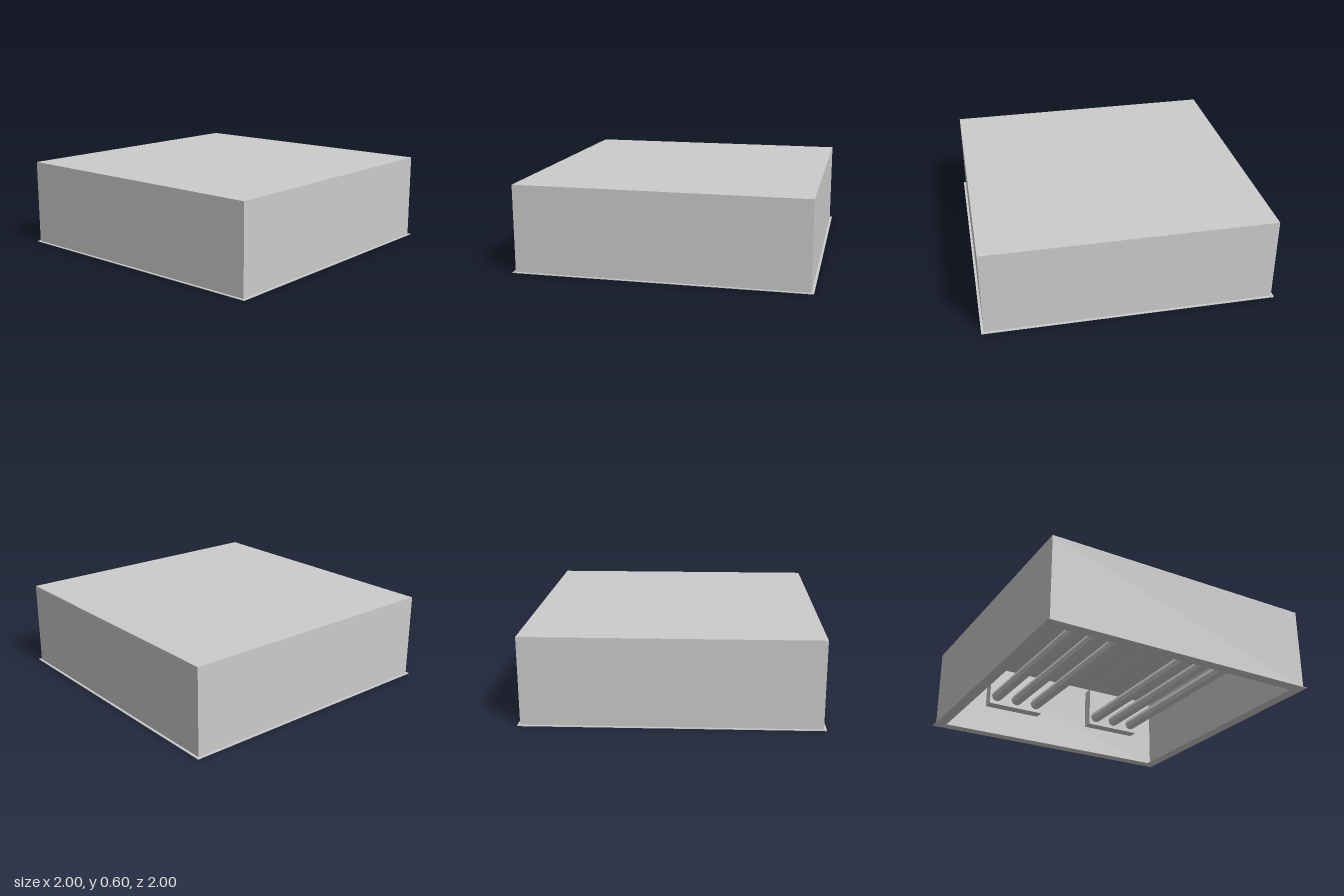
import * as THREE from 'three';

const material = new THREE.MeshStandardMaterial({ color: 0xcccccc });
const facetedMaterial = new THREE.MeshStandardMaterial({ color: 0xcccccc, flatShading: true });

function add(parent, name, geometry, x = 0, y = 0, z = 0, mat = material) {
  const mesh = new THREE.Mesh(geometry, mat);
  mesh.name = name;
  mesh.position.set(x, y, z);
  parent.add(mesh);
}

// Square ring of given outer and inner half sizes, standing on y = 0
function squareRing(outer, inner, height) {
  const square = (Type, r) => new Type([[-r, -r], [r, -r], [r, r], [-r, r]].map(([x, y]) => new THREE.Vector2(x, y)));
  const shape = square(THREE.Shape, outer);
  shape.holes.push(square(THREE.Path, inner));
  const geometry = new THREE.ExtrudeGeometry(shape, { depth: height, bevelEnabled: false });
  return geometry.rotateX(-Math.PI / 2);
}

// Tray with two end sockets holding three tubes that run along x
function lampBank(z) {
  const bank = new THREE.Group();
  bank.name = 'lampBank';
  bank.position.z = z;
  add(bank, 'tray', new THREE.BoxGeometry(1.58, 0.004, 0.44), 0, 0.462, 0);
  for (const side of [-1, 1]) {
    add(bank, 'endSocket', new THREE.BoxGeometry(0.08, 0.3, 0.44), side * 0.75, 0.31, 0);
  }
  const tube = new THREE.CylinderGeometry(0.042, 0.042, 1.42, 8).rotateZ(Math.PI / 2);
  for (const i of [-1, 0, 1]) add(bank, 'lampTube', tube, 0, 0.225, i * 0.165, facetedMaterial);
  return bank;
}

export function createModel() {
  const model = new THREE.Group();
  model.name = 'recessedCeilingLight';

  // Housing, open at the bottom
  add(model, 'flange', squareRing(1, 0.92, 0.004));
  add(model, 'housingWalls', squareRing(0.983, 0.975, 0.588), 0, 0.004, 0);
  add(model, 'housingTop', new THREE.BoxGeometry(1.966, 0.008, 1.966), 0, 0.596, 0);

  // Two banks of lamps
  for (const side of [-1, 1]) model.add(lampBank(side * 0.44));
  return model;
}
